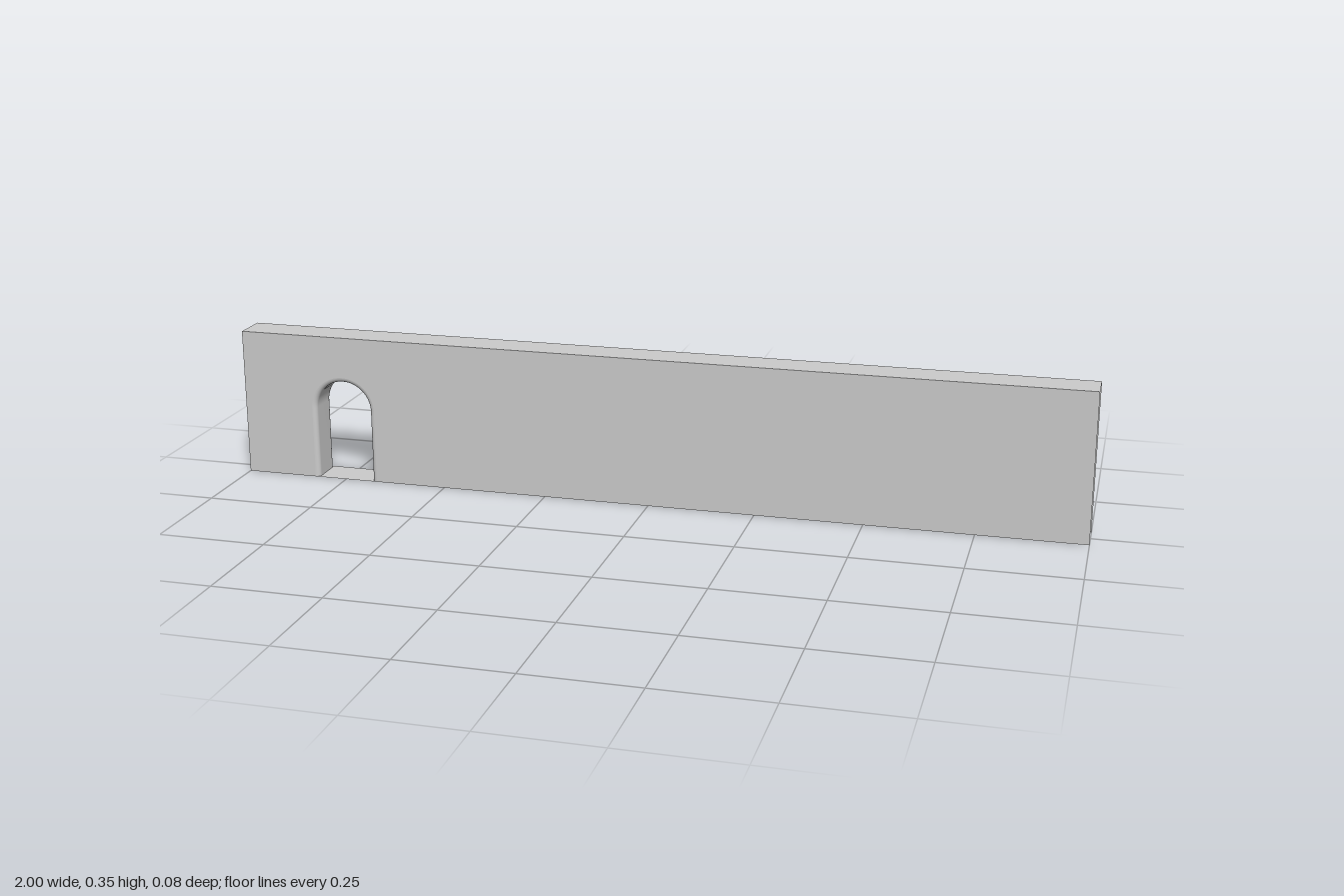
import * as THREE from 'three';

const H = 0.35, HALF_Z = 0.042;            // wall height and half thickness
const DOOR_X = -0.75, R = 0.068, SPRING = 0.173; // doorway centre, half width, arch spring line
const FILLET = 0.011;                      // rounding of the doorway rim
const ARC = 32, ROUND = 6;

// Doorway outline from left foot over the arch to right foot, grown by `off`
function archPoints(off) {
  const r = R + off;
  const pts = [new THREE.Vector2(DOOR_X - r, 0)];
  for (let i = 0; i <= ARC; i++) {
    const a = Math.PI * (1 - i / ARC);
    pts.push(new THREE.Vector2(DOOR_X + r * Math.cos(a), SPRING + r * Math.sin(a)));
  }
  pts.push(new THREE.Vector2(DOOR_X + r, 0));
  return pts;
}

// Section through the lining from front to back: [outward offset, z]
function rimProfile() {
  const front = [];
  for (let i = 0; i <= ROUND; i++) {
    const a = (i / ROUND) * Math.PI / 2;
    front.push([FILLET * (1 - Math.sin(a)), HALF_Z - FILLET * (1 - Math.cos(a))]);
  }
  return [...front, ...front.slice().reverse().map(([o, z]) => [o, -z])];
}

export function createModel() {
  const group = new THREE.Group();
  const material = new THREE.MeshStandardMaterial({ color: 0xcccccc, side: THREE.DoubleSide });
  const add = (name, geometry) => {
    const mesh = new THREE.Mesh(geometry, material);
    mesh.name = name;
    group.add(mesh);
    return mesh;
  };

  // Front and back sheets with the doorway cut from the bottom edge
  const panel = new THREE.ShapeGeometry(new THREE.Shape([
    new THREE.Vector2(-1, 0), ...archPoints(FILLET),
    new THREE.Vector2(1, 0), new THREE.Vector2(1, H), new THREE.Vector2(-1, H),
  ]));
  add('frontPanel', panel).position.z = HALF_Z;

  const back = panel.clone().scale(-1, 1, 1).rotateY(Math.PI);
  // mirrored then turned: restore outward winding and normals
  const idx = back.index.array;
  for (let i = 0; i < idx.length; i += 3) [idx[i], idx[i + 1]] = [idx[i + 1], idx[i]];
  back.computeVertexNormals();
  add('backPanel', back).position.z = -HALF_Z;

  // Top sheet; the ends and underside stay open
  add('topPanel', new THREE.PlaneGeometry(2, 2 * HALF_Z).rotateX(-Math.PI / 2)).position.y = H;

  // Doorway lining: the rounded section swept along the arch
  const profile = rimProfile();
  const lining = new THREE.PlaneGeometry(1, 1, ARC + 2, profile.length - 1);
  const pos = lining.attributes.position;
  let n = 0;
  for (const [off, z] of profile) {
    for (const p of archPoints(off)) pos.setXYZ(n++, p.x, p.y, z);
  }
  lining.computeVertexNormals();
  add('doorwayLining', lining);

  // Threshold between the jambs, following the rounded section
  const side = (s) => profile.map(([off, z]) => new THREE.Vector2(DOOR_X + s * (R + off), -z));
  const floor = new THREE.ShapeGeometry(new THREE.Shape([...side(1), ...side(-1).reverse()]));
  add('doorwayFloor', floor.rotateX(-Math.PI / 2));

  return group;
}
